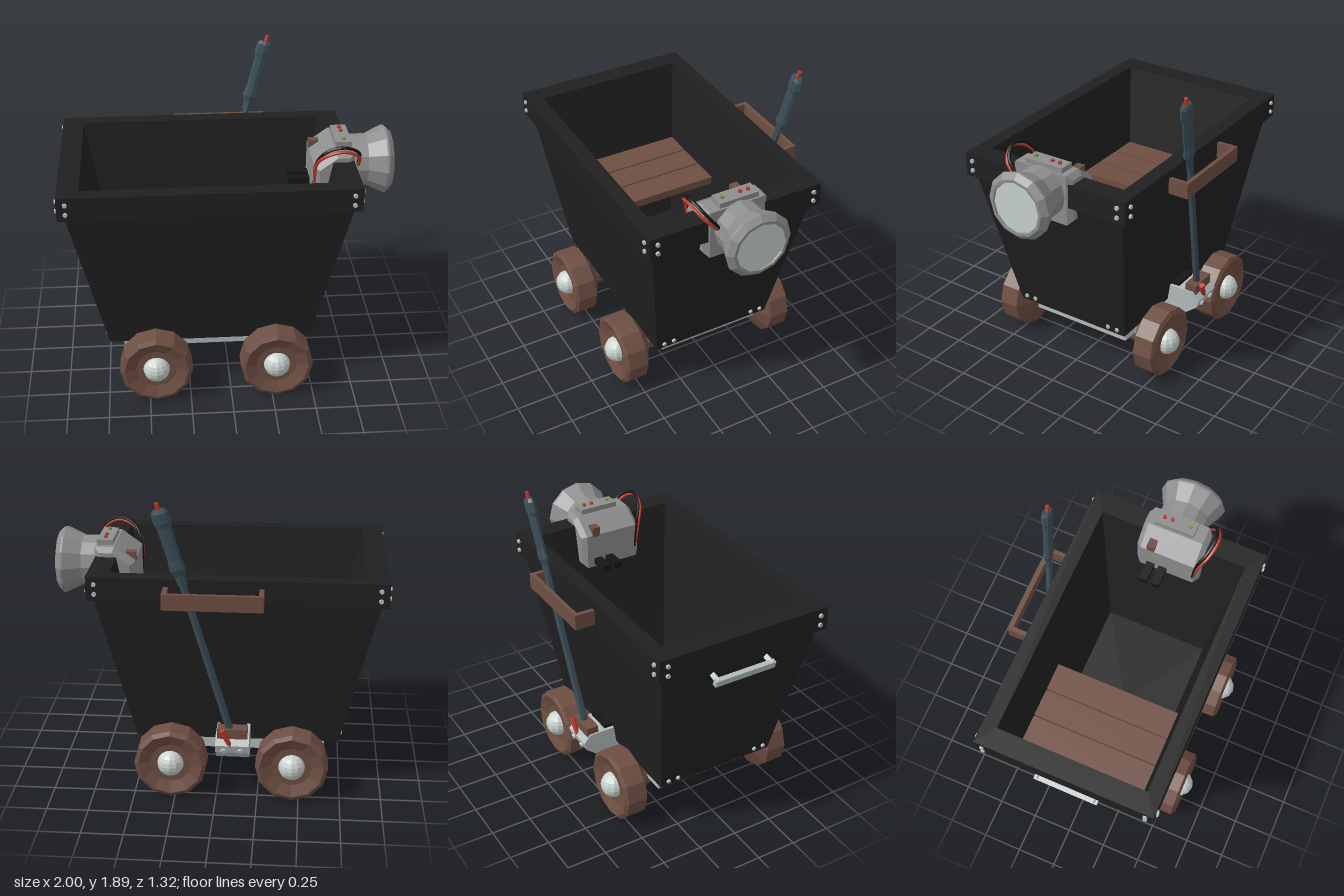
import * as THREE from 'three';

const mat = (color) => new THREE.MeshStandardMaterial({ color, flatShading: true, side: THREE.DoubleSide });
const V = (x, y, z) => new THREE.Vector3(x, y, z);
const CX = -0.12, CZ = 0.025; // centre of the tub

export function createModel() {
  const root = new THREE.Group();
  const black = mat(0x202020), wood = mat(0x6e4e42), steel = mat(0x3d4f59), grey = mat(0x8e8e8e);
  const pale = mat(0xb4bcbc), lens = mat(0xc8d2ce), red = mat(0xc23a2c), green = mat(0x6f9a3c), dark = mat(0x161616);

  const add = (name, geo, m, parent = root) => {
    const mesh = new THREE.Mesh(geo, m);
    mesh.name = name;
    parent.add(mesh);
    return mesh;
  };
  // box given by its limits
  const box = (name, m, x0, x1, y0, y1, z0, z1, parent) => {
    const b = add(name, new THREE.BoxGeometry(x1 - x0, y1 - y0, z1 - z0), m, parent);
    b.position.set((x0 + x1) / 2, (y0 + y1) / 2, (z0 + z1) / 2);
    return b;
  };
  // cylinder between two points
  const rod = (name, m, a, b, r0, r1 = r0, sides = 8, parent = root) => {
    const c = add(name, new THREE.CylinderGeometry(r1, r0, a.distanceTo(b), sides), m, parent);
    c.position.copy(a).lerp(b, 0.5);
    c.quaternion.setFromUnitVectors(V(0, 1, 0), b.clone().sub(a).normalize());
    return c;
  };
  const bolt = (p, n, r = 0.016) =>
    rod('bolt', pale, p.clone().addScaledVector(n, -0.015), p.clone().addScaledVector(n, 0.012), r, r * 0.8);
  const lathe = (pts, sides) => new THREE.LatheGeometry(pts.map((p) => new THREE.Vector2(...p)), sides);

  // tapered tub: rings of half width, height, half depth
  const rings = [[0, 0.32, 0], [0.615, 0.32, 0.385], [0.835, 1.28, 0.518], [0.743, 1.4, 0.465], [0.54, 0.37, 0.34], [0, 0.37, 0]];
  const corners = [[1, 1], [1, -1], [-1, -1], [-1, 1]];
  const pos = [];
  for (let i = 0; i < rings.length - 1; i++) {
    for (let k = 0; k < 4; k++) {
      const at = (r, c) => [CX + r[0] * c[0], r[1], CZ + r[2] * c[1]];
      const c = corners[k], d = corners[(k + 1) % 4];
      const [p, q, s, t] = [at(rings[i], c), at(rings[i], d), at(rings[i + 1], d), at(rings[i + 1], c)];
      pos.push(...p, ...q, ...s, ...p, ...s, ...t);
    }
  }
  const tub = new THREE.BufferGeometry();
  tub.setAttribute('position', new THREE.Float32BufferAttribute(pos, 3));
  tub.computeVertexNormals();
  add('tub', tub, black);

  // rim frame
  const rect = (C, w, d) => new C([[-w, -d], [w, -d], [w, d], [-w, d]].map((p) => new THREE.Vector2(...p)));
  const rimShape = rect(THREE.Shape, 0.87, 0.555);
  rimShape.holes.push(rect(THREE.Path, 0.743, 0.465));
  const rim = add('rim', new THREE.ExtrudeGeometry(rimShape, { depth: 0.145, bevelEnabled: false }).rotateX(-Math.PI / 2), black);
  rim.position.set(CX, 1.262, CZ);

  // bolts on the rim corners and along the tub's lower ends
  for (const sx of [-1, 1]) {
    for (const sz of [-1, 1]) {
      for (const y of [1.305, 1.365]) {
        bolt(V(CX + sx * 0.82, y, CZ + sz * 0.555), V(0, 0, sz));
        bolt(V(CX + sx * 0.87, y, CZ + sz * 0.505), V(sx, 0, 0));
      }
      for (const d of [0.275, 0.34]) bolt(V(CX + sx * 0.624, 0.36, CZ + sz * d), V(sx, -0.23, 0).normalize());
    }
  }

  // seat planks
  for (let i = 0; i < 3; i++) box('seatPlank', wood, -0.762 + i * 0.183, -0.588 + i * 0.183, 0.85, 0.9, -0.385, 0.435);

  // undercarriage
  box('basePlate', pale, -0.65, 0.43, 0.237, 0.33, -0.325, 0.34);
  box('basePanel', pale, -0.195, -0.01, 0.215, 0.25, -0.2, 0.25);

  // axles with clamps, wheels and round hubs
  const wheelGeo = lathe([[0.08, 0.37], [0.22, 0.445], [0.22, 0.568], [0.195, 0.583], [0.125, 0.555], [0, 0.555]], 12).rotateX(Math.PI / 2);
  for (const x of [-0.457, 0.275]) {
    const set = new THREE.Group();
    set.name = 'wheelSet';
    set.position.set(x, 0.225, CZ);
    root.add(set);
    rod('axle', wood, V(0, 0, -0.42), V(0, 0, 0.42), 0.07, 0.07, 10, set);
    for (const s of [-1, 1]) {
      const side = new THREE.Group();
      side.name = s > 0 ? 'frontWheel' : 'backWheel';
      side.rotation.y = s > 0 ? 0 : Math.PI;
      set.add(side);
      add('wheel', wheelGeo, wood, side);
      add('hub', new THREE.SphereGeometry(0.082, 12, 10), lens, side).position.z = 0.548;
      rod('axleClamp', pale, V(0, 0, 0.085), V(0, 0, 0.255), 0.085, 0.085, 8, side);
      box('clampFlange', pale, -0.12, 0.12, 0, 0.03, 0.085, 0.255, side);
      for (const bx of [-0.1, 0.1]) for (const bz of [0.13, 0.21])
        rod('clampBolt', grey, V(bx, -0.02, bz), V(bx, 0.01, bz), 0.016, 0.016, 6, side);
    }
  }

  // end handle, square to the sloping wall
  const out = V(-0.075, -0.02, 0);
  for (const z of [-0.15, 0.21]) {
    const foot = V(-0.915, 1.17, z);
    rod('handlePost', pale, foot, foot.clone().add(out), 0.02, 0.02, 4);
  }
  const bar = box('handleBar', pale, -0.995, -0.965, 1.122, 1.165, -0.17, 0.23);
  bar.rotation.z = 0.25;

  // lever guide on the back of the rim
  box('guideBar', wood, -0.28, 0.3, 1.265, 1.36, -0.655, -0.63);
  for (const x of [-0.28, 0.272]) box('guideArm', wood, x, x + 0.028, 1.265, 1.36, -0.64, -0.52);

  // brake lever: shaft, grip and button share one slanted axis
  const foot = V(-0.1, 0.4, -0.513), top = V(0.305, 1.85, -0.633);
  const lever = new THREE.Group();
  lever.name = 'brakeLever';
  lever.position.copy(foot);
  lever.quaternion.setFromUnitVectors(V(0, 1, 0), top.clone().sub(foot).normalize());
  root.add(lever);
  add('shaft', new THREE.CylinderGeometry(0.022, 0.024, 1.15, 6), steel, lever).position.y = 0.575;
  const grip = lathe([[0, 1.04], [0.028, 1.04], [0.03, 1.1], [0.048, 1.14], [0.04, 1.2], [0.042, 1.4], [0.052, 1.43], [0.05, 1.49], [0.035, 1.51], [0, 1.51]], 8);
  add('grip', grip.scale(1, 1, 0.6), steel, lever);
  add('gripButton', new THREE.CylinderGeometry(0.012, 0.014, 0.05, 8), red, lever).position.y = 1.525;

  // lever mount with side catch
  const mount = new THREE.Shape([[0.36, 0.43], [0.54, 0.43], [0.585, 0.38], [0.57, 0.33], [0.47, 0.25], [0.3, 0.25]].map((p) => new THREE.Vector2(...p)));
  const mountMesh = add('leverMount', new THREE.ExtrudeGeometry(mount, { depth: 0.2, bevelEnabled: false }).rotateY(Math.PI / 2), pale);
  mountMesh.position.x = -0.2;
  box('mountBlock', wood, -0.19, -0.01, 0.41, 0.475, -0.555, -0.48);
  box('mountSpacer', dark, -0.18, -0.02, 0.39, 0.45, -0.43, -0.35);
  rod('catchLever', red, V(-0.09, 0.37, -0.57), V(-0.04, 0.48, -0.58), 0.014, 0.018);
  for (const x of [-0.15, -0.05]) bolt(V(x, 0.345, -0.575), V(0, -0.3, -0.95).normalize(), 0.02);

  // lamp housing straddling the rim
  const lamp = new THREE.Group();
  lamp.name = 'lamp';
  root.add(lamp);
  const hs = new THREE.Shape([[0.516, 1.15], [0.757, 1.15], [0.757, 1.462], [0.64, 1.462], [0.516, 1.37]].map((p) => new THREE.Vector2(...p)));
  const housing = new THREE.ExtrudeGeometry(hs, { depth: 0.35, bevelSize: 0.03, bevelOffset: -0.03, bevelThickness: 0.03, bevelSegments: 1 });
  add('lampHousing', housing, grey, lamp).position.z = -0.145;
  box('switchPanel', grey, 0.65, 0.745, 1.45, 1.495, -0.11, 0.14, lamp);
  [[red, -0.065], [red, -0.015], [green, 0.1]].forEach(([m, z]) =>
    rod('switchButton', m, V(0.7, 1.49, z), V(0.7, 1.508, z), 0.012, 0.012, 8, lamp));
  box('housingTab', wood, 0.516, 0.575, 1.36, 1.42, -0.105, -0.055, lamp);
  for (const z of [-0.1, -0.02]) box('clip', dark, 0.39, 0.53, 1.17, 1.21, z, z + 0.052, lamp);
  // flared reflector and glass
  const shade = lathe([[0, 0.715], [0.157, 0.715], [0.157, 0.85], [0.207, 0.955], [0.207, 0.968], [0.175, 1], [0.157, 1], [0.152, 0.982]], 12);
  add('lampShade', shade.rotateZ(-Math.PI / 2), grey, lamp).position.set(0, 1.322, 0.022);
  const glass = add('lampGlass', new THREE.CircleGeometry(0.157, 12), lens, lamp);
  glass.rotation.y = Math.PI / 2;
  glass.position.set(0.99, 1.322, 0.022);

  // wires looping from inside the tub to the shade
  [[dark, 0, 0], [red, -0.02, 0.015]].forEach(([m, dy, dz]) => {
    const path = new THREE.CatmullRomCurve3([V(0.52, 1.22, 0.2), V(0.525, 1.4, 0.22 + dz), V(0.58, 1.49 + dy, 0.26 + dz),
      V(0.68, 1.52 + dy, 0.275 + dz), V(0.77, 1.47 + dy, 0.24 + dz), V(0.785, 1.36, 0.16 + dz)]);
    add('wire', new THREE.TubeGeometry(path, 24, 0.01, 6), m, lamp);
  });
  return root;
}
